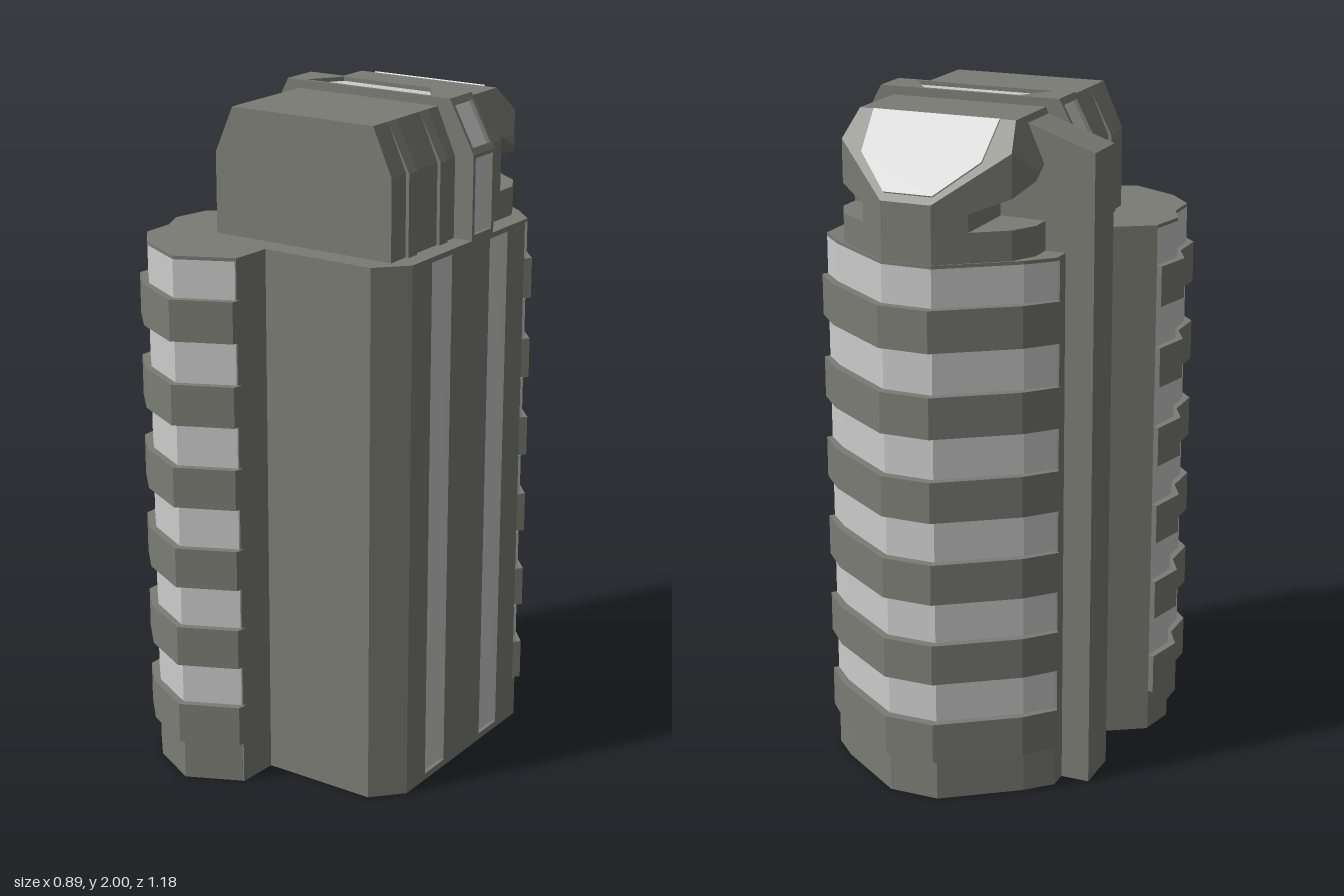
import * as THREE from 'three';
import { ConvexGeometry } from 'three/addons/geometries/ConvexGeometry.js';

export function createModel() {
  const model = new THREE.Group();
  model.name = 'tower';
  const stone = new THREE.MeshStandardMaterial({ color: 0x7c7c75, flatShading: true });
  const glass = new THREE.MeshStandardMaterial({ color: 0xcccccc, flatShading: true });
  const CX = 0.075; // symmetry axis of the upper cabin and the rounded back

  const add = (name, geometry, material = stone) => {
    const mesh = new THREE.Mesh(geometry, material);
    mesh.name = name;
    model.add(mesh);
    return mesh;
  };
  const toShape = pts => new THREE.Shape(pts.map(([x, y]) => new THREE.Vector2(x, y)));
  // Plan outline (x, z) raised from y0 to y1
  const prism = (name, plan, y0, y1, material) => {
    const g = new THREE.ExtrudeGeometry(toShape(plan.map(([x, z]) => [x, -z])),
      { depth: y1 - y0, bevelEnabled: false });
    add(name, g.rotateX(-Math.PI / 2).translate(0, y0, 0), material);
  };
  // Front outline (x, y) run from z0 to z1
  const slab = (name, outline, z0, z1, material) => {
    const g = new THREE.ExtrudeGeometry(toShape(outline), { depth: z1 - z0, bevelEnabled: false });
    add(name, g.translate(0, 0, z0), material);
  };
  const hull = (name, pts) =>
    add(name, new ConvexGeometry(pts.map(p => new THREE.Vector3(...p))));

  // Main shaft, with two upright slots in its right-hand wall
  const strips = [[-0.23, -0.13], [0.075, 0.18]];
  const shaft = slots => [
    [-0.28, -0.33], [0.43, -0.33],
    ...(slots ? strips.flatMap(([a, b]) => [[0.43, a], [0.415, a], [0.415, b], [0.43, b]]) : []),
    [0.43, 0.28], [0.35, 0.365], [0, 0.365], [-0.008, 0.49], [-0.03, 0.485],
    [-0.2, 0.35], [-0.37, 0.15], [-0.405, 0.107], [-0.28, 0.03],
  ];
  prism('shaftFoot', shaft(false), 0, 0.02);
  prism('shaft', shaft(true), 0.02, 1.59);
  prism('shaftCap', shaft(false), 1.59, 1.605);
  for (const [a, b] of strips) {
    add('windowStrip', new THREE.BoxGeometry(0.02, 1.57, b - a)
      .translate(0.408, 0.805, (a + b) / 2), glass);
  }

  // Rounded back and front bay: glass storeys between projecting bands
  const backWall = [[-0.28, -0.33], [-0.28, -0.345], [-0.21, -0.415], [0, -0.563],
    [0.15, -0.563], [0.36, -0.415], [0.43, -0.345], [0.43, -0.33]];
  const backBand = [[-0.275, -0.335], [-0.293, -0.355], [-0.217, -0.44], [0, -0.59],
    [0.15, -0.59], [0.367, -0.44], [0.443, -0.355], [0.425, -0.335]];
  const bayWall = [[-0.013, 0.49], [-0.17, 0.565], [-0.318, 0.487], [-0.392, 0.4],
    [-0.392, 0.298], [-0.427, 0.22], [-0.403, 0.109], [-0.2, 0.15], [-0.05, 0.3]];
  const bayBand = [[-0.003, 0.49], [-0.007, 0.511], [-0.17, 0.587], [-0.325, 0.507], [-0.41, 0.415],
    [-0.41, 0.297], [-0.45, 0.222], [-0.422, 0.102], [-0.395, 0.11], [-0.2, 0.15], [-0.05, 0.3]];
  for (const [part, wall, band] of [['back', backWall, backBand], ['bay', bayWall, bayBand]]) {
    prism(part + 'Base', wall, 0, 0.128);
    for (let i = 0; i < 6; i++) {
      const y = 0.128 + i * 0.2472;
      prism(part + 'Band', band, y, y + 0.121);
      prism(part + 'Glass', wall, y + 0.121, i < 5 ? y + 0.2472 : 1.595, glass);
    }
    prism(part + 'Cap', wall, 1.595, 1.605);
  }

  // Flat buttress rising up the left-hand wall
  slab('buttress', [[-0.365, 0], [-0.365, 1.89], [-0.16, 1.96], [-0.16, 1.6], [-0.25, 1.55], [-0.25, 0]],
    -0.29, -0.147);

  // Upper cabin and its slim ribs
  const cabin = (half, y0 = 1.6) => [[CX - half, y0], [CX - half, 1.84], [CX - 0.235, 1.975],
    [CX + 0.235, 1.975], [CX + half, 1.84], [CX + half, y0]];
  slab('cabin', cabin(0.295), -0.285, 0.295);
  for (const z of [0.02, 0.18]) slab('cabinRib', cabin(0.305), z, z + 0.043);

  // Sloped rear of the cabin: a core plus side pieces above and below the notches
  hull('rearCore', [-1, 1].flatMap(s => [
    [0.158, 1.6, -0.285], [0.158, 1.975, -0.285], [0.158, 1.975, -0.355],
    [0.158, 1.6, -0.5], [0.158, 1.83, -0.5], [0.075, 1.6, -0.56], [0.075, 1.77, -0.56],
  ].map(([u, y, z]) => [CX + s * u, y, z])));
  for (const s of [-1, 1]) {
    const at = ([u, y, z]) => [CX + s * u, y, z];
    prism('notchSill', [[0.15, -0.28], [0.295, -0.28], [0.295, -0.355], [0.255, -0.43], [0.158, -0.5]]
      .map(([u, z]) => [CX + s * u, z]), 1.6, 1.69);
    hull('notchHood', [
      [0.158, 1.85, -0.285], [0.29, 1.85, -0.285], [0.295, 1.814, -0.355], [0.255, 1.776, -0.43],
      [0.158, 1.74, -0.5], [0.158, 1.975, -0.285], [0.235, 1.975, -0.285], [0.235, 1.975, -0.355],
      [0.295, 1.84, -0.355], [0.255, 1.9, -0.43], [0.158, 1.83, -0.5], [0.158, 1.975, -0.355],
    ].map(at));
  }

  // Skylight lying on the 45 degree rear slope
  const skylight = [[-0.19, 0], [-0.18, 0.1], [-0.073, 0.185], [0.073, 0.185], [0.18, 0.1], [0.19, 0]]
    .map(([u, d]) => [u, d * Math.SQRT2]);
  const pane = add('skylight', new THREE.ExtrudeGeometry(toShape(skylight),
    { depth: 0.006, bevelEnabled: false }), glass);
  pane.applyMatrix4(new THREE.Matrix4().makeBasis(
    new THREE.Vector3(-1, 0, 0),
    new THREE.Vector3(0, -Math.SQRT1_2, -Math.SQRT1_2),
    new THREE.Vector3(0, Math.SQRT1_2, -Math.SQRT1_2),
  ).setPosition(CX, 1.973, -0.357));

  // Hoop over the cabin: glass core, end plates and five window frames
  const hoop = [[-0.28, 1.605], [-0.28, 1.85], [-0.2, 2], [0.35, 2], [0.43, 1.85], [0.43, 1.605]];
  const inner = [[-0.268, 1.605], [-0.268, 1.847], [-0.193, 1.988],
    [0.343, 1.988], [0.418, 1.847], [0.418, 1.605]];
  slab('hoopGlass', inner, -0.137, -0.04, glass);
  slab('hoopEnd', hoop, -0.04, -0.03);
  slab('hoopEnd', hoop, -0.147, -0.137);
  const box = (a, b) => [[a, 0.012], [b, 0.012], [b, 0.105], [a, 0.105]];
  const holes = [box(0.015, 0.235), box(0.02, 0.15),
    [[0.06, 0.012], [0.485, 0.012], [0.42, 0.105], [0.125, 0.105]],
    box(0.02, 0.15), box(0.01, 0.23)];
  holes.forEach((hole, i) => {
    const [ax, ay] = hoop[i], [bx, by] = hoop[i + 1];
    const along = new THREE.Vector3(bx - ax, by - ay, 0);
    const len = along.length();
    along.normalize();
    const out = new THREE.Vector3(-along.y, along.x, 0);
    const shape = toShape([[0, 0], [len, 0], [len, 0.117], [0, 0.117]]);
    shape.holes.push(new THREE.Path(hole.map(p => new THREE.Vector2(...p))));
    const frame = add('hoopFrame', new THREE.ExtrudeGeometry(shape, { depth: 0.014, bevelEnabled: false }));
    frame.applyMatrix4(new THREE.Matrix4()
      .makeBasis(along, new THREE.Vector3(0, 0, -1), out)
      .setPosition(ax - out.x * 0.014, ay - out.y * 0.014, -0.03));
  });

  return model;
}
